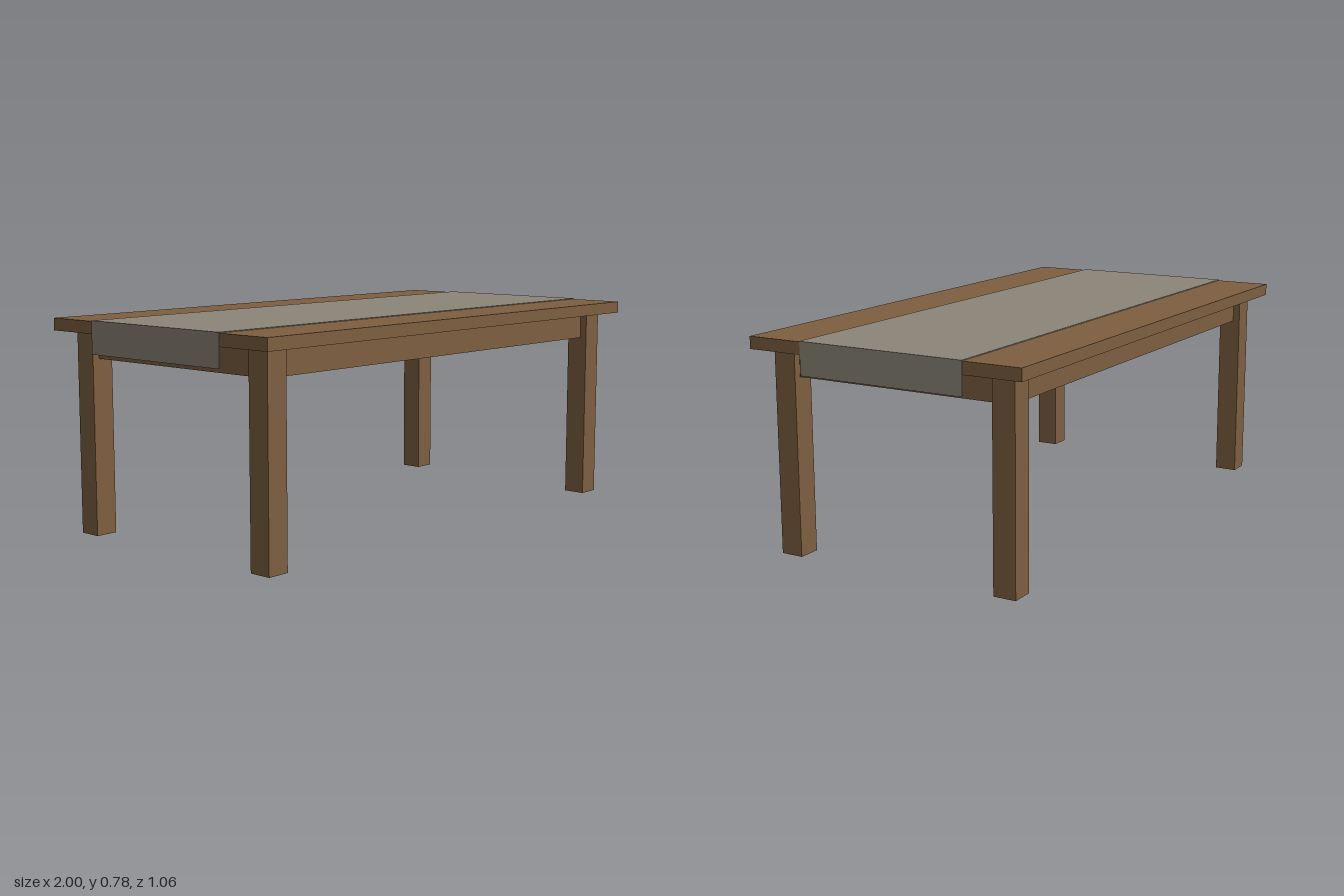
import * as THREE from 'three';

const wood = new THREE.MeshStandardMaterial({ name: 'brown wood', color: 0x7e5f40 });
const cloth = new THREE.MeshStandardMaterial({ name: 'grey cloth', color: 0x8c8679 });

// Box given by its size and the position of its centre
function box(name, material, size, position) {
  const mesh = new THREE.Mesh(new THREE.BoxGeometry(...size), material);
  mesh.name = name;
  mesh.position.set(...position);
  return mesh;
}

export function createModel() {
  const group = new THREE.Group();
  group.name = 'diningTable';

  const legSize = 0.084, legX = 0.898, legZ = 0.432;
  const underside = 0.73, topThickness = 0.044;
  const apronHeight = 0.097, apronThickness = 0.03;
  const apronY = underside - apronHeight / 2;

  // Tabletop
  group.add(box('tabletop', wood, [1.994, topThickness, 1.064], [0, underside + topThickness / 2, 0]));

  // Legs
  for (const sx of [-1, 1]) {
    for (const sz of [-1, 1]) {
      group.add(box('leg', wood, [legSize, underside, legSize], [sx * legX, underside / 2, sz * legZ]));
    }
  }

  // Aprons between the legs
  for (const s of [-1, 1]) {
    group.add(box('longApron', wood, [2 * legX - legSize, apronHeight, apronThickness], [0, apronY, s * legZ]));
    group.add(box('endApron', wood, [apronThickness, apronHeight, 2 * legZ - legSize], [s * legX, apronY, 0]));
  }

  // Table runner: flat strip with a hanging flap at each end
  const runnerWidth = 0.636, runnerThickness = 0.003, runnerTop = 0.777, flapBottom = 0.66;
  group.add(box('runner', cloth, [2, runnerThickness, runnerWidth], [0, runnerTop - runnerThickness / 2, 0]));
  const flapHeight = runnerTop - runnerThickness - flapBottom;
  for (const s of [-1, 1]) {
    group.add(box('runnerFlap', cloth, [runnerThickness, flapHeight, runnerWidth],
      [s * (1 - runnerThickness / 2), flapBottom + flapHeight / 2, 0]));
  }

  return group;
}
